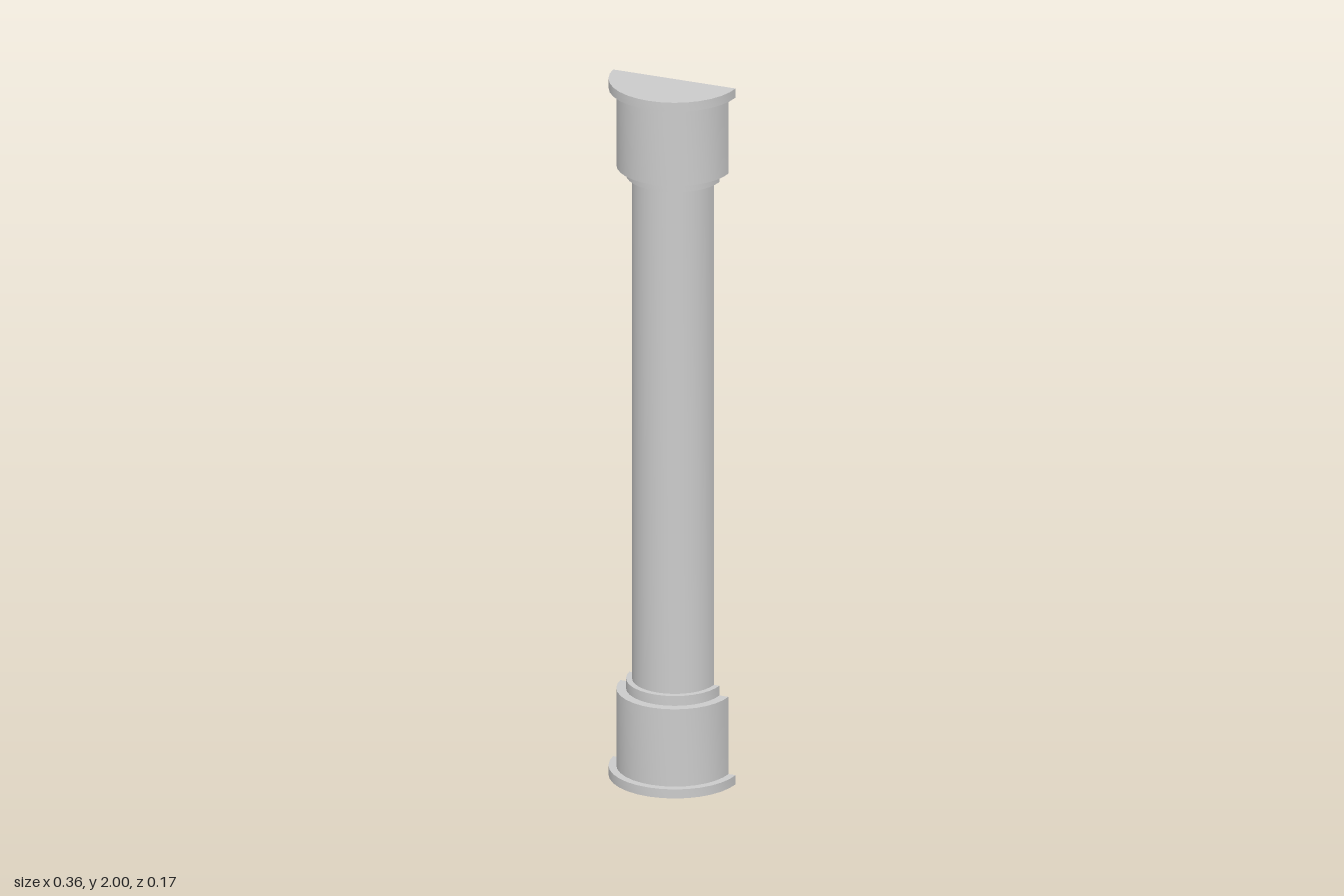
import * as THREE from 'three';
import { toCreasedNormals } from 'three/addons/utils/BufferGeometryUtils.js';

const BACK = -0.087;   // flat wall side
const CUT = 0.004;     // the wall plane lies this far in front of the column axis
const SEGMENTS = 16;

const material = new THREE.MeshStandardMaterial({ color: 0xcccccc });

// Half-round drum between two heights, flat at the back
function halfDrum(name, radius, y0, y1) {
  const points = [];
  const halfWidth = Math.sqrt(radius * radius - CUT * CUT);
  for (let i = 0; i <= SEGMENTS; i++) {
    const a = (i / SEGMENTS) * Math.PI;
    const end = i === 0 || i === SEGMENTS;
    const x = end ? Math.sign(Math.cos(a)) * halfWidth : radius * Math.cos(a);
    const z = end ? BACK : BACK - CUT + radius * Math.sin(a);
    points.push(new THREE.Vector2(x, z));
  }
  const geometry = new THREE.ExtrudeGeometry(new THREE.Shape(points), {
    depth: y1 - y0, bevelEnabled: false,
  });
  geometry.rotateX(Math.PI / 2);
  geometry.translate(0, y1, 0);
  const mesh = new THREE.Mesh(toCreasedNormals(geometry, 0.6), material);
  mesh.name = name;
  return mesh;
}

export function createModel() {
  const model = new THREE.Group();
  model.name = 'halfColumn';

  // Stepped drums, mirrored between foot and head: name, radius, bottom, top
  const steps = [
    ['Slab', 0.178, 0, 0.026],
    ['Block', 0.157, 0.026, 0.248],
    ['Collar', 0.131, 0.248, 0.276],
  ];
  const base = new THREE.Group();
  base.name = 'base';
  const capital = new THREE.Group();
  capital.name = 'capital';
  for (const [name, radius, y0, y1] of steps) {
    base.add(halfDrum('base' + name, radius, y0, y1));
    capital.add(halfDrum('capital' + name, radius, 2 - y1, 2 - y0));
  }

  // Plain shaft between the collars
  model.add(base, halfDrum('shaft', 0.115, 0.276, 1.724), capital);
  return model;
}
